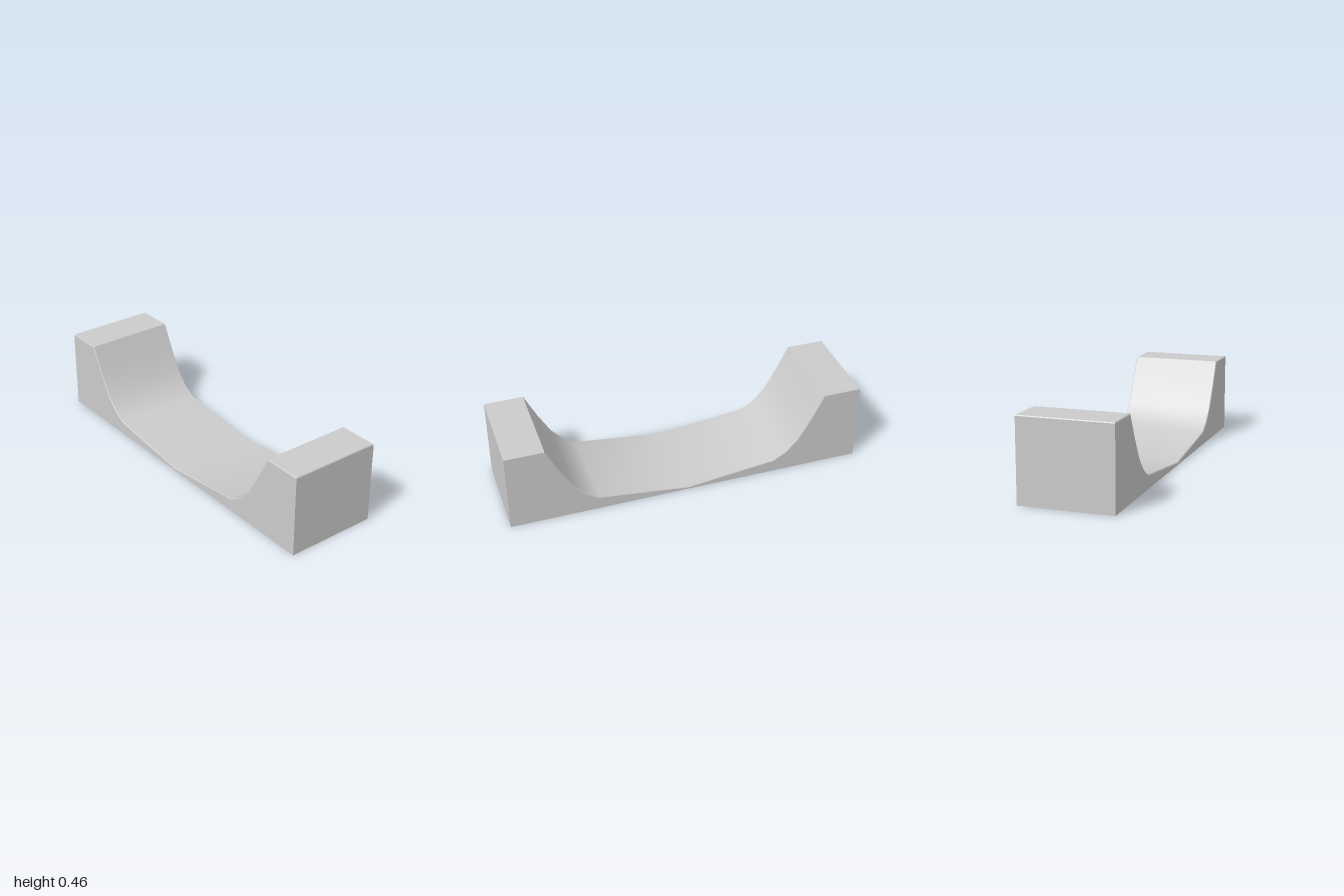
import * as THREE from 'three';
import { toCreasedNormals } from 'three/addons/utils/BufferGeometryUtils.js';

const HALF_WIDTH = 0.258, BEVEL_X = 0.004, BEVEL = 0.005;

// Top edge of the ramp from the front to the middle, as (z, y)
const half = [[0.997, 0.456], [0.785, 0.456], [0.715, 0.314], [0.645, 0.192], [0.575, 0.117], [0.505, 0.075]];
const profile = [...half, [0, 0.015], ...half.map(([z, y]) => [-z, y]).reverse()]
  .map(([z, y]) => new THREE.Vector2(z, y));

// Move a profile point inward along its mitred normal, to start the bevel
function lowered(i) {
  const last = profile.length - 1, p = profile[i];
  if (i === 0 || i === last) return new THREE.Vector2(Math.sign(p.x), p.y - BEVEL);
  const a = p.clone().sub(profile[i - 1]).normalize();
  const b = profile[i + 1].clone().sub(p).normalize();
  const t = a.clone().add(b).normalize();
  const inward = new THREE.Vector2(-t.y, t.x);
  return p.clone().addScaledVector(inward, BEVEL / t.dot(a));
}

function rampGeometry() {
  // One six-point cross-section per profile point: base, bevel, top, and back down
  const rings = profile.map((p, i) => {
    const o = lowered(i), w = HALF_WIDTH, n = w - BEVEL_X;
    return [[w, 0, o.x], [w, o.y, o.x], [n, p.y, p.x], [-n, p.y, p.x], [-w, o.y, o.x], [-w, 0, o.x]];
  });
  const positions = [];
  const quad = (a, b, c, d) => positions.push(...a, ...b, ...c, ...a, ...c, ...d);

  for (let i = 0; i < rings.length - 1; i++) {
    const r = rings[i], s = rings[i + 1];
    for (let k = 0; k < 6; k++) {
      const m = (k + 1) % 6;
      quad(r[k], s[k], s[m], r[m]);
    }
  }

  // End walls with their bevelled top edge
  const f = rings[0], b = rings[rings.length - 1];
  quad(f[0], f[1], f[4], f[5]);
  quad(f[1], f[2], f[3], f[4]);
  quad(b[5], b[4], b[1], b[0]);
  quad(b[4], b[3], b[2], b[1]);

  const geometry = new THREE.BufferGeometry();
  geometry.setAttribute('position', new THREE.Float32BufferAttribute(positions, 3));
  return toCreasedNormals(geometry, 0.45);
}

export function createModel() {
  const group = new THREE.Group();
  group.name = 'halfPipeRamp';
  const ramp = new THREE.Mesh(rampGeometry(), new THREE.MeshStandardMaterial({ color: 0xcccccc }));
  ramp.name = 'ramp';
  group.add(ramp);
  return group;
}
